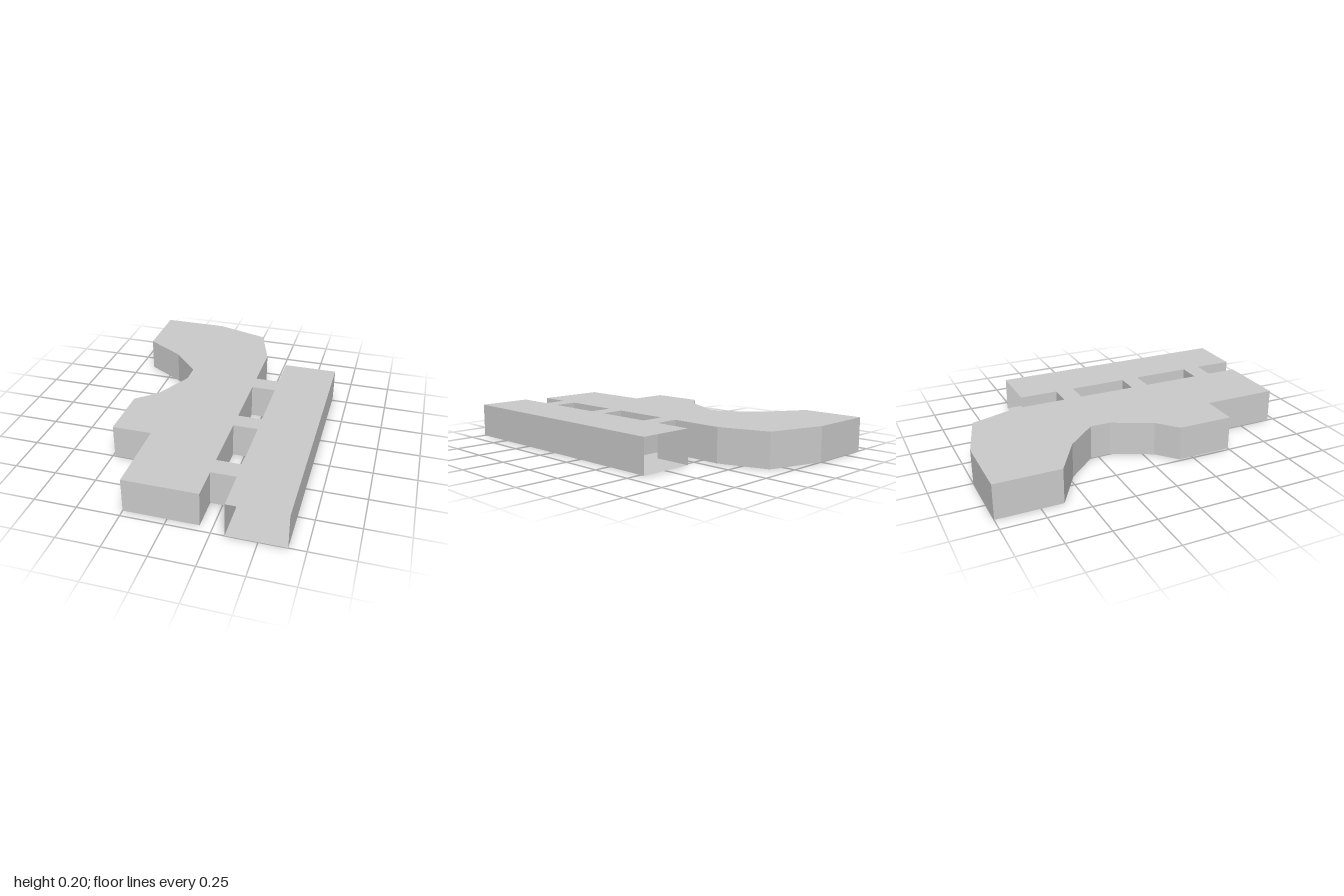
import * as THREE from 'three';

const H = 0.205; // overall height
const BODY_X = 0.18, BAR_X0 = 0.325, BAR_X1 = 0.655, BAR_Z0 = -0.525, BAR_Z1 = 1;
const LINKS = [[-0.29, -0.175], [0.18, 0.29], [0.65, 0.765]]; // z ranges of the links

const solidMat = new THREE.MeshStandardMaterial({ color: 0xcccccc, flatShading: true });
const openMat = new THREE.MeshStandardMaterial({ color: 0xcccccc, flatShading: true, side: THREE.DoubleSide });

function add(parent, geometry, name, material = openMat) {
  const mesh = new THREE.Mesh(geometry, material);
  mesh.name = name;
  parent.add(mesh);
}

// Full-height wall between two plan points, facing right of the +x direction's front
function wall(parent, name, x0, z0, x1, z1) {
  const g = new THREE.PlaneGeometry(Math.hypot(x1 - x0, z1 - z0), H);
  g.rotateY(Math.atan2(z0 - z1, x1 - x0));
  g.translate((x0 + x1) / 2, H / 2, (z0 + z1) / 2);
  add(parent, g, name);
}

// Matching top and bottom plates over a plan rectangle
function plates(parent, name, x0, x1, z0, z1) {
  for (const [side, y, turn] of [['Top', H, -1], ['Bottom', 0, 1]]) {
    const g = new THREE.PlaneGeometry(x1 - x0, z1 - z0);
    g.rotateX(turn * Math.PI / 2);
    g.translate((x0 + x1) / 2, y, (z0 + z1) / 2);
    add(parent, g, name + side);
  }
}

export function createModel() {
  const model = new THREE.Group();
  model.name = 'building';

  // Main block with the curved wing, as a plan outline (x, z)
  const outline = [
    [-0.655, -1], [-0.25, -1], [0.085, -0.9], [BODY_X, -0.61], [BODY_X, 0.957],
    [-0.25, 0.957], [-0.25, 0.5], [-0.485, 0.5], [-0.485, 0.165], [-0.365, 0.06],
    [-0.25, -0.175], [-0.25, -0.295], [-0.415, -0.475], [-0.655, -0.62],
  ];
  const shape = new THREE.Shape(outline.map(([x, z]) => new THREE.Vector2(x, -z)));
  const body = new THREE.ExtrudeGeometry(shape, { depth: H, bevelEnabled: false });
  body.rotateX(-Math.PI / 2);
  add(model, body, 'mainBlock', solidMat);

  // Long side bar, open at both ends
  const bar = new THREE.Group();
  bar.name = 'sideBar';
  model.add(bar);
  plates(bar, 'bar', BAR_X0, BAR_X1, BAR_Z0, BAR_Z1);
  wall(bar, 'barOuterWall', BAR_X1, BAR_Z1, BAR_X1, BAR_Z0);

  // Hollow links, and the bar's inner wall between them
  let z = BAR_Z0;
  for (const [z0, z1] of LINKS) {
    wall(bar, 'barInnerWall', BAR_X0, z, BAR_X0, z0);
    const link = new THREE.Group();
    link.name = 'link';
    model.add(link);
    plates(link, 'link', BODY_X, BAR_X0, z0, z1);
    wall(link, 'linkFrontWall', BODY_X, z1, BAR_X0, z1);
    wall(link, 'linkBackWall', BAR_X0, z0, BODY_X, z0);
    z = z1;
  }
  wall(bar, 'barInnerWall', BAR_X0, z, BAR_X0, BAR_Z1);

  return model;
}
